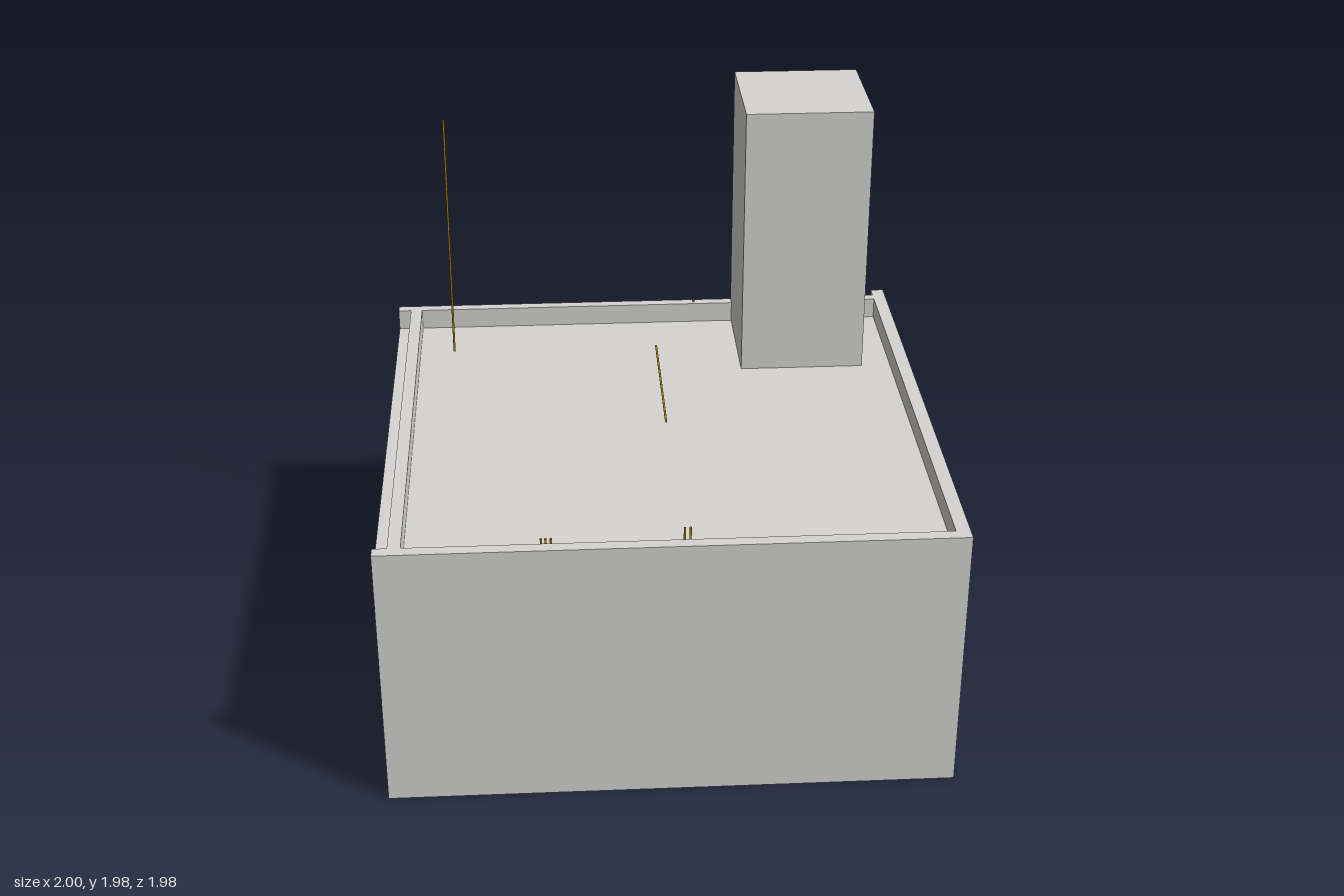
import * as THREE from 'three';

export function createModel() {
  const model = new THREE.Group();
  model.name = 'house';
  const concrete = new THREE.MeshStandardMaterial({ color: 0xd5d4d2 });
  concrete.name = 'concrete';
  const timber = new THREE.MeshStandardMaterial({ color: 0xb8860b });
  timber.name = 'timber';

  function add(name, geometry, material, x, y, z) {
    const mesh = new THREE.Mesh(geometry, material);
    mesh.position.set(x, y, z);
    mesh.name = name;
    model.add(mesh);
    return mesh;
  }

  // Box given by its minimum and maximum on each axis
  function block(name, [x0, x1], [y0, y1], [z0, z1]) {
    add(name, new THREE.BoxGeometry(x1 - x0, y1 - y0, z1 - z0), concrete,
      (x0 + x1) / 2, (y0 + y1) / 2, (z0 + z1) / 2);
  }

  const floorTop = 0.04, roofTop = 0.92, roofBottom = 0.9;
  const back = -0.99, front = 0.985;

  // Floor: two thin plates over a core set back on the open sides
  block('basePlate', [-1, 1], [0, 0.008], [back, front]);
  block('floorCore', [-0.95, 0.95], [0.008, 0.032], [-0.94, 0.94]);
  block('floorPlate', [-1, 1], [0.032, floorTop], [back, front]);

  // Roof slab: its edge shows as a ledge on the back and right sides
  block('roofSlab', [-1, 0.95], [roofBottom, roofTop], [back, 0.94]);

  // Walls rise past the roof as a parapet
  block('frontWall', [-1, 1], [0, 1], [0.94, front]);
  block('leftWall', [0.95, 1], [0, 1], [back, 0.94]);
  block('rightWall', [-0.95, -0.905], [floorTop, 1], [-0.9, 0.94]);

  // Back wall with a doorway reaching down to the floor
  const outline = new THREE.Shape([
    [-1, floorTop], [-0.15, floorTop], [-0.15, 0.72], [0.14, 0.72],
    [0.14, floorTop], [0.95, floorTop], [0.95, 1], [-1, 1],
  ].map(([x, y]) => new THREE.Vector2(x, y)));
  add('backWall', new THREE.ExtrudeGeometry(outline, { depth: 0.04, bevelEnabled: false }),
    concrete, 0, 0, -0.94);

  // Door leaf standing open into the room
  block('doorLeaf', [-0.17, -0.15], [floorTop, 0.72], [-0.9, -0.61]);

  // Tower standing on the floor and passing through the roof
  block('tower', [0.36, 0.838], [floorTop, 1.976], [-0.94, -0.457]);

  // Thin round rods: x, z, foot
  const radius = 0.004;
  const rods = [
    [-0.44, 0.925, floorTop], [-0.425, 0.925, floorTop], [-0.407, 0.925, floorTop],
    [0.043, 0.88, floorTop], [0.062, 0.88, floorTop],
    [0.205, -0.92, floorTop],
    [-0.768, -0.62, 0.95],
  ];
  for (const [x, z, foot] of rods) {
    add(foot > 0.5 ? 'mast' : 'uprightRod',
      new THREE.CylinderGeometry(radius, radius, 0.97, 16), timber, x, foot + 0.485, z);
  }

  // Rod lying just above the roof
  add('lyingRod', new THREE.CylinderGeometry(radius, radius, 0.64, 16), timber, 0.034, 0.95, -0.3)
    .rotation.x = Math.PI / 2;

  return model;
}
